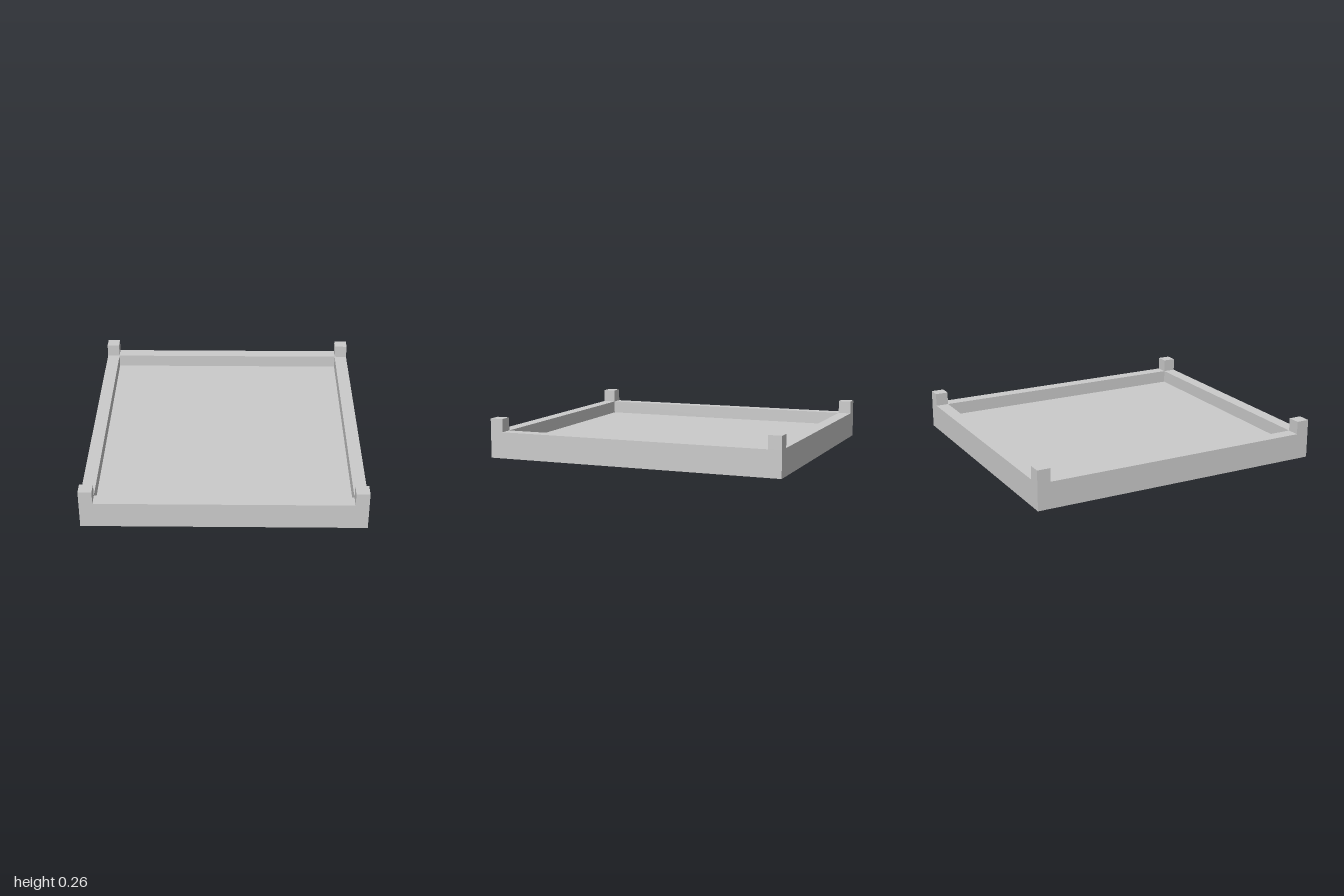
import * as THREE from 'three';

const W = 1.826, D = 2;          // footprint
const T = 0.0875;                // wall, floor and post thickness
const RIM = 2 * T, TOP = 3 * T;  // heights of the rim and of the posts

export function createModel() {
  const group = new THREE.Group();
  const material = new THREE.MeshStandardMaterial({ color: 0xcccccc, flatShading: true });

  const add = (name, geometry, x = 0, y = 0, z = 0) => {
    const mesh = new THREE.Mesh(geometry, material);
    mesh.name = name;
    mesh.position.set(x, y, z);
    group.add(mesh);
  };

  const rectangle = (target, w, d) => target
    .moveTo(-w / 2, -d / 2).lineTo(w / 2, -d / 2)
    .lineTo(w / 2, d / 2).lineTo(-w / 2, d / 2).closePath();

  // Rim wall: rectangular frame extruded upward
  const frame = rectangle(new THREE.Shape(), W, D);
  frame.holes.push(rectangle(new THREE.Path(), W - 2 * T, D - 2 * T));
  const wall = new THREE.ExtrudeGeometry(frame, { depth: RIM, bevelEnabled: false });
  wall.rotateX(-Math.PI / 2);
  add('rimWall', wall);

  // Floor panel fitted inside the rim
  add('floor', new THREE.BoxGeometry(W - 2 * T, T, D - 2 * T), 0, T / 2, 0);

  // Square posts standing on the four corners
  for (const [sx, side] of [[1, 'Left'], [-1, 'Right']]) {
    for (const [sz, end] of [[1, 'front'], [-1, 'back']]) {
      add(`${end}${side}Post`, new THREE.BoxGeometry(T, TOP - RIM, T),
        sx * (W - T) / 2, (RIM + TOP) / 2, sz * (D - T) / 2);
    }
  }
  return group;
}
